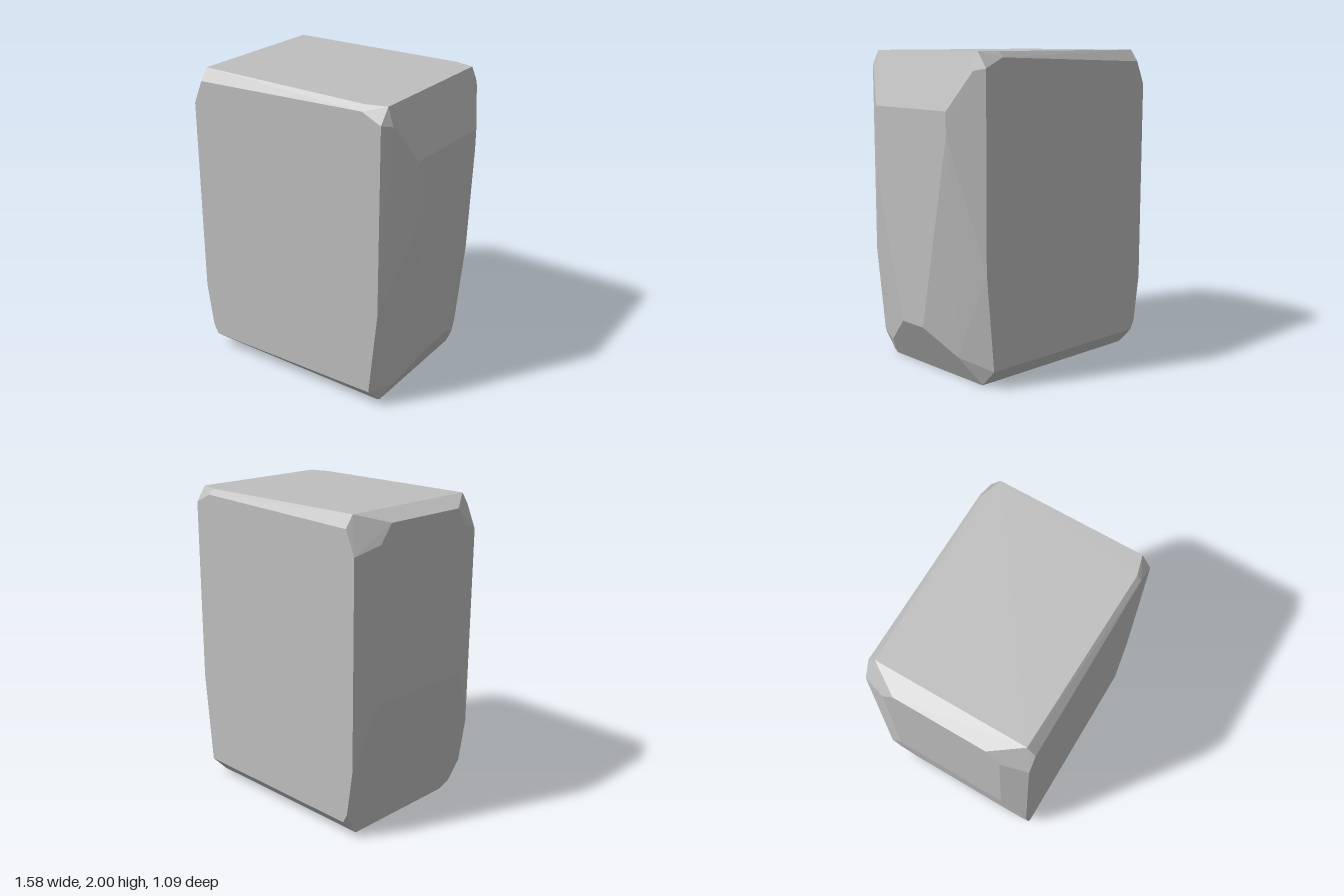
import * as THREE from 'three';
import { ConvexGeometry } from 'three/addons/geometries/ConvexGeometry.js';

export function createModel() {
  const model = new THREE.Group();
  model.name = 'rock';
  const stone = new THREE.MeshStandardMaterial({ color: 0xbfbfbf });
  stone.name = 'stone grey';
  stone.flatShading = true;

  const corners = [];
  const add = (x, y, z) => corners.push(new THREE.Vector3(x, y, z));

  // Corners shared by the front and the back
  for (const s of [1, -1]) {
    // top, right corner and top right bevel
    add(0.53, 2, 0.515 * s);
    add(0.53, 1.965, 0.545 * s);
    add(0.66, 2, 0.478 * s);
    add(0.657, 1.905, 0.545 * s);
    add(0.698, 1.89, 0.48 * s);
    add(0.785, 1.66, 0.34 * s);
    // top, left corner
    add(-0.67, 2, 0.49 * s);
    add(-0.67, 1.925, 0.545 * s);
    add(-0.735, 1.775, 0.545 * s);
    add(-0.79, 1.83, 0.385 * s);
    add(-0.79, 1.942, 0.3 * s);
    // left side, slanting in towards the foot
    add(-0.79, 0.87, 0.385 * s);
    add(-0.735, 0.47, 0.545 * s);
    add(-0.692, 0.17, 0.545 * s);
    // right side, tip of the lower bevel
    add(0.785, 0.325, 0.1 * s);
  }

  // Right side, front half
  add(0.785, 1.22, 0.34);
  add(0.657, 0.7, 0.545);
  add(0.668, 0.12, 0.37);
  add(0.6, 0.13, 0.545);

  // Right side, back half
  add(0.785, 1.52, -0.34);
  add(0.657, 0.72, -0.545);
  add(0.697, 0.17, -0.33);
  add(0.605, 0.18, -0.545);

  // Lower front edge
  add(-0.66, 0.105, 0.545);
  add(-0.672, 0.035, 0.465);
  add(0.6, 0.02, 0.445);
  add(0.3, 0, 0.42);
  add(0.6, 0, 0.415);
  add(-0.667, 0, 0.38);

  // Lower back edge
  add(0.6, 0.11, -0.545);
  add(-0.66, 0.11, -0.545);
  add(0.6, 0, -0.44);
  add(-0.667, 0, -0.44);

  const block = new THREE.Mesh(new ConvexGeometry(corners), stone);
  block.name = 'stoneBlock';
  model.add(block);
  return model;
}
